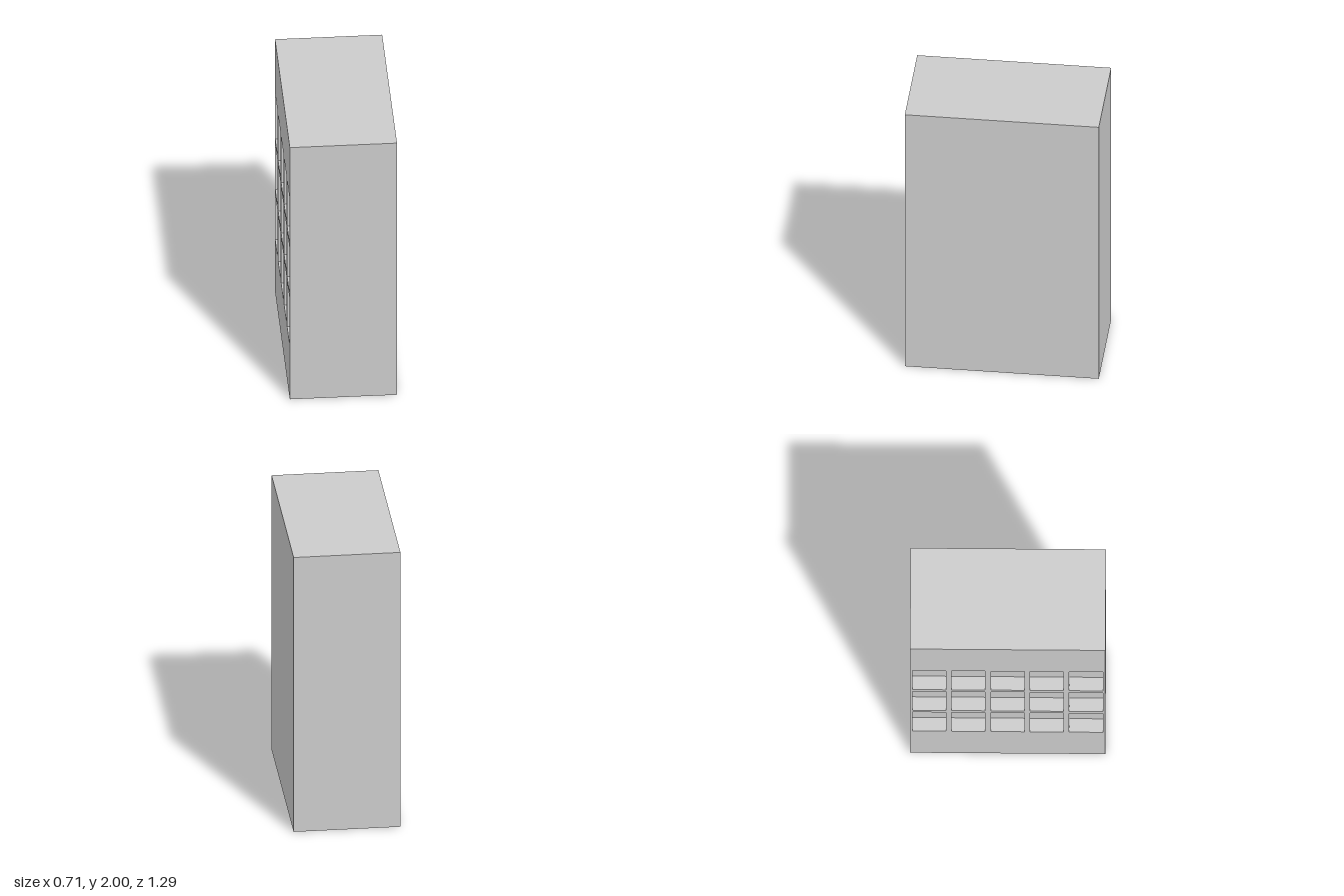
import * as THREE from 'three';

const W = 0.71, H = 2, D = 1.29;          // cabinet size in x, y, z
const COLS = 5, ROWS = 3;
const CELL_W = 0.222, CELL_H = 0.364, CELL_DEPTH = 0.095;
const PITCH_Z = 0.259, PITCH_Y = 0.4;

// Box without its -x face; inward = true makes it show from inside
function openBox(w, h, d, inward) {
  const geo = new THREE.BoxGeometry(w, h, d);
  const index = Array.from(geo.index.array);
  index.splice(6, 6);
  if (inward) index.reverse();
  geo.setIndex(index);
  geo.computeVertexNormals();
  return geo;
}

export function createModel() {
  const model = new THREE.Group();
  model.name = 'pigeonholeCabinet';
  const material = new THREE.MeshStandardMaterial({ color: 0xcccccc });
  const add = (name, geo, x, y, z) => {
    const mesh = new THREE.Mesh(geo, material);
    mesh.name = name;
    mesh.position.set(x, y, z);
    model.add(mesh);
  };

  // Plain closed sides, top and base
  add('cabinetBody', openBox(W, H, D, false), 0, H / 2, 0);

  // Side panel with a grid of openings, and a recess behind each one
  const panel = new THREE.Shape();
  panel.moveTo(-D / 2, 0).lineTo(D / 2, 0).lineTo(D / 2, H).lineTo(-D / 2, H).closePath();
  const recess = openBox(CELL_DEPTH, CELL_H, CELL_W, true);
  for (let r = 0; r < ROWS; r++) {
    for (let c = 0; c < COLS; c++) {
      const z = (c - (COLS - 1) / 2) * PITCH_Z;
      const y = H / 2 + (r - (ROWS - 1) / 2) * PITCH_Y;
      const a = z - CELL_W / 2, b = z + CELL_W / 2;
      const lo = y - CELL_H / 2, hi = y + CELL_H / 2;
      const hole = new THREE.Path();
      hole.moveTo(a, lo).lineTo(a, hi).lineTo(b, hi).lineTo(b, lo).closePath();
      panel.holes.push(hole);
      add(`recess_${r + 1}_${c + 1}`, recess, -W / 2 + CELL_DEPTH / 2, y, z);
    }
  }
  add('openingPanel', new THREE.ShapeGeometry(panel).rotateY(-Math.PI / 2), -W / 2, 0, 0);

  return model;
}
